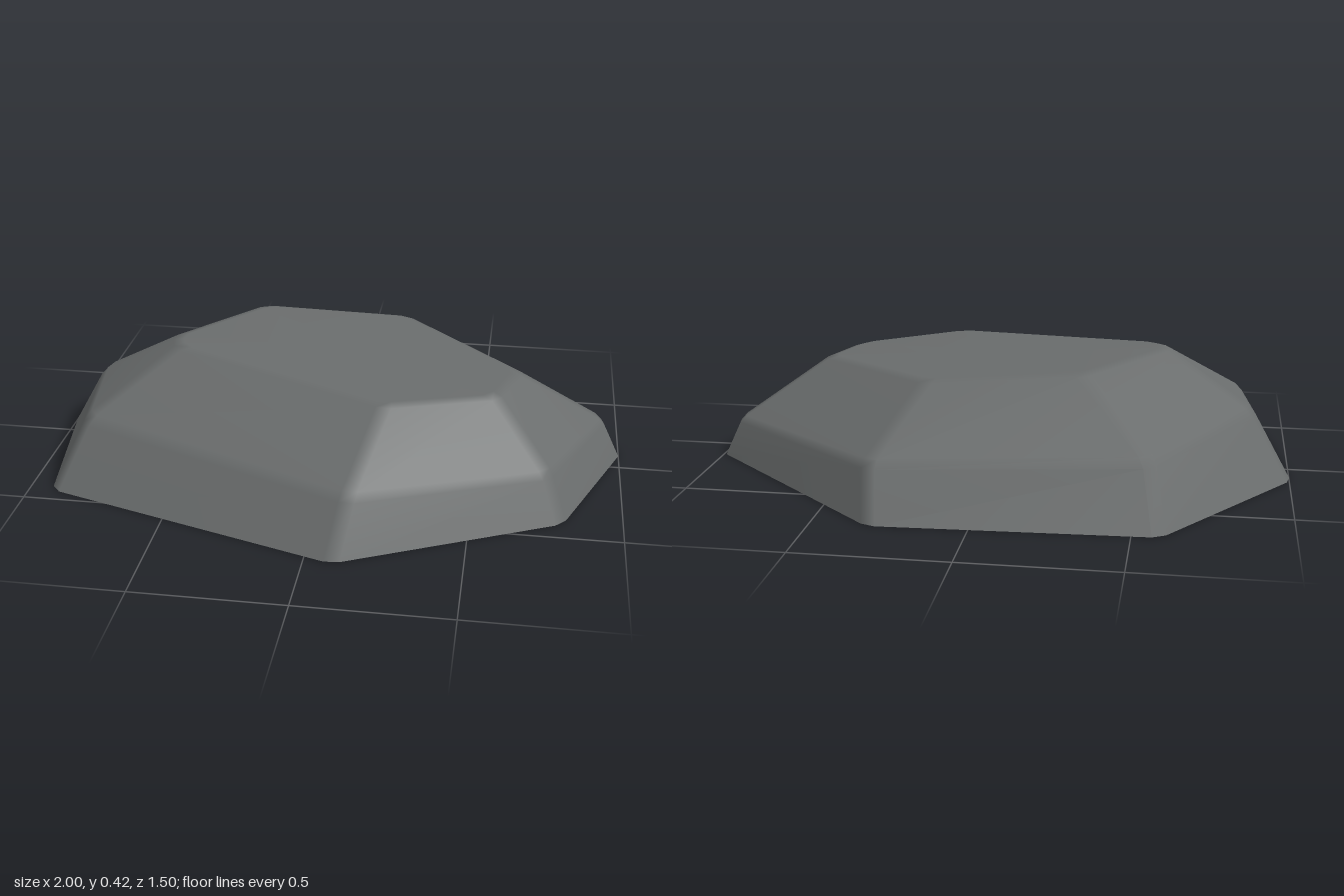
import * as THREE from 'three';

// Seven corners per ring, counted left to front to right to back: [x, y, z]
const BASE = [[-1.006, 0, -0.12], [-0.92, 0, 0.44], [0.09, 0, 0.757], [0.805, 0, 0.415],
  [1.01, 0, -0.11], [0.32, 0, -0.753], [-0.59, 0, -0.716]];
const MID = [[-0.87, 0.235, -0.08], [-0.825, 0.22, 0.31], [0.125, 0.175, 0.645], [0.75, 0.15, 0.36],
  [0.945, 0.135, -0.11], [0.34, 0.17, -0.655], [-0.55, 0.205, -0.605]];
const TOP = [[-0.57, 0.418, 0.02], [-0.54, 0.417, 0.105], [0.21, 0.374, 0.375], [0.565, 0.352, 0.215],
  [0.635, 0.35, 0], [0.2, 0.376, -0.38], [-0.31, 0.406, -0.335]];

// Dark cracks in the underside: [corner, corner it runs towards, share of the way]
const CRACKS = [[5, 2, 0.57], [3, 5, 0.43], [6, 2, 0.49], [4, 3, 0.6], [1, 0, 0.9]];

const toVectors = (ring) => ring.map((p) => new THREE.Vector3(...p));
const blend = (a, b, t) => a.map((p, i) => p.clone().lerp(b[i], t));
const middle = (ring) => ring.reduce((s, p) => s.add(p), new THREE.Vector3()).divideScalar(ring.length);

// Replace every corner by two points, giving a narrow worn edge
function chamfer(ring, width) {
  const n = ring.length;
  return ring.flatMap((p, i) => [ring[(i + n - 1) % n], ring[(i + 1) % n]].map((q) => {
    const length = p.distanceTo(q);
    return p.clone().lerp(q, Math.min(width, length * 0.35) / length);
  }));
}

function makeMesh(name, points, index, material) {
  const geometry = new THREE.BufferGeometry().setFromPoints(points);
  geometry.setIndex(index);
  geometry.computeVertexNormals();
  const mesh = new THREE.Mesh(geometry, material);
  mesh.name = name;
  return mesh;
}

// Fan around the middle of a ring whose first vertex sits at offset
function fan(offset, n, centre, flip) {
  const index = [];
  for (let i = 0; i < n; i++) {
    const a = offset + i, b = offset + (i + 1) % n;
    index.push(centre, flip ? b : a, flip ? a : b);
  }
  return index;
}

export function createModel() {
  const group = new THREE.Group();
  group.name = 'rock';
  const stone = new THREE.MeshStandardMaterial({ color: 0x696c6c });
  stone.name = 'grey stone';
  const dark = new THREE.MeshStandardMaterial({ color: 0x141414 });
  dark.name = 'dark crack';

  const base = toVectors(BASE), mid = toVectors(MID), top = toVectors(TOP);
  const topCentre = middle(top);

  // Narrow bands beside the mid and top edges keep the facets flat and the edges soft
  const rings = [
    base,
    blend(mid, base, 0.1),
    blend(mid, top, 0.05),
    blend(top, mid, 0.05),
    top.map((p) => p.clone().lerp(topCentre, 0.04)),
  ].map((ring) => chamfer(ring, 0.027));
  const n = rings[0].length;

  // Sides and top
  const points = [...rings.flat(), topCentre];
  const index = [];
  for (let r = 0; r < rings.length - 1; r++) {
    for (let i = 0; i < n; i++) {
      const a = r * n + i, b = r * n + (i + 1) % n;
      index.push(a, b, b + n, a, b + n, a + n);
    }
  }
  index.push(...fan((rings.length - 1) * n, n, points.length - 1, false));
  group.add(makeMesh('rockBody', points, index, stone));

  // Flat underside, just above the cracks
  const underside = makeMesh('underside', [...rings[0], middle(rings[0])], fan(0, n, n, true), stone);
  underside.position.y = 0.002;
  group.add(underside);

  // Thin wedges running in from the worn corners
  for (const [from, to, share] of CRACKS) {
    const tip = base[from].clone().lerp(base[to], share);
    const wedge = [tip, rings[0][2 * from + 1], rings[0][2 * from]];
    group.add(makeMesh('crack', wedge, [0, 1, 2], dark));
  }
  return group;
}
